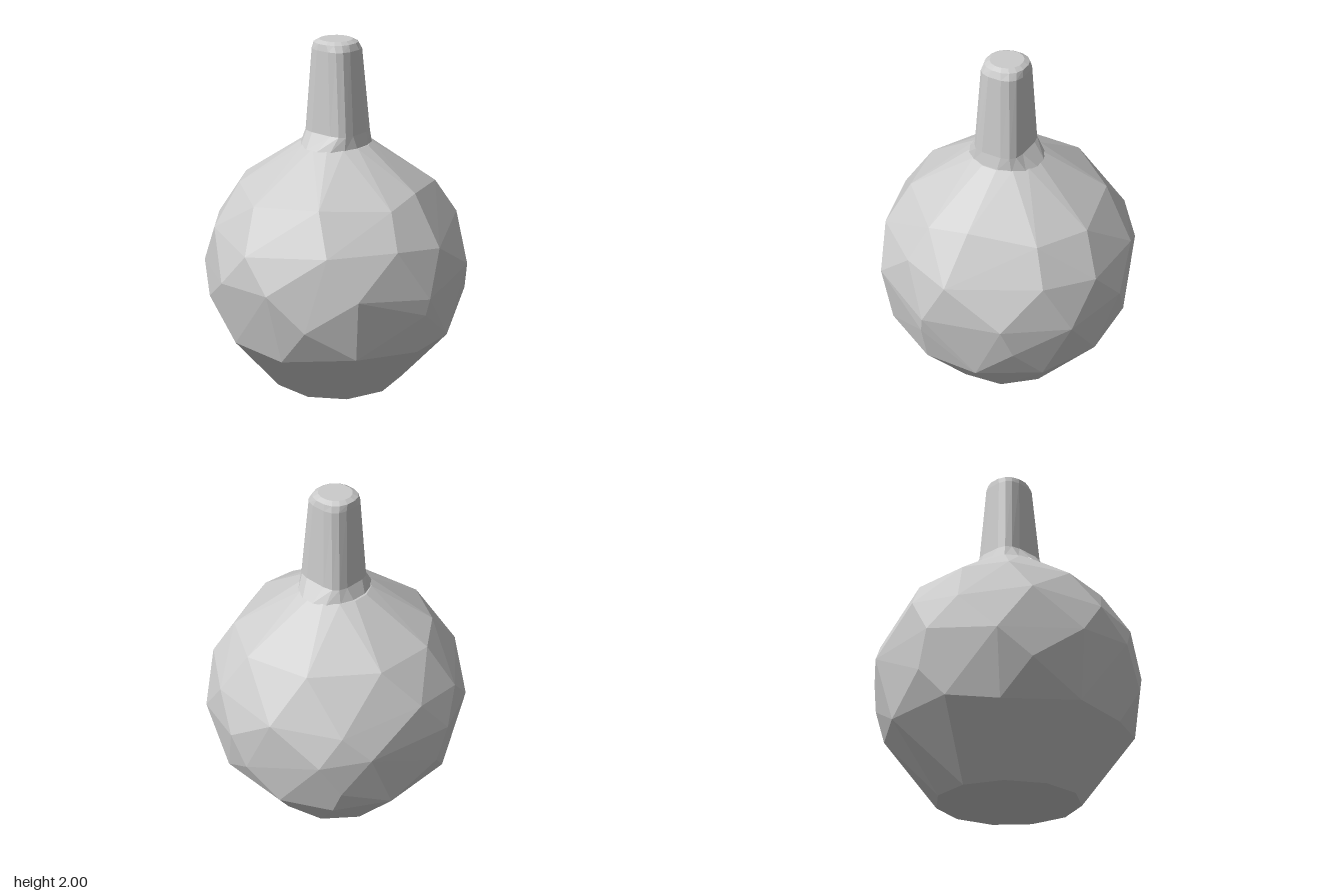
import * as THREE from 'three';
import { ConvexGeometry } from 'three/addons/geometries/ConvexGeometry.js';

const material = new THREE.MeshStandardMaterial({ color: 0xcccccc, flatShading: true });

// Small seeded generator, values in -1..1
function seeded(seed) {
  return () => {
    seed = (seed * 16807) % 2147483647;
    return (seed / 2147483647) * 2 - 1;
  };
}

// Faceted round body: staggered rings of points, slightly shifted, wrapped in a hull
function bodyGeometry() {
  const rand = seeded(4177);
  // y, radius, point count, start angle, vertical shift
  const rings = [
    [0, 0.4, 11, 0, 0],
    [0.37, 0.7, 12, 0.25, 0.04],
    [0.56, 0.745, 7, 0.1, 0.06],
    [0.73, 0.765, 11, 0, 0.05],
    [0.95, 0.715, 11, 0.3, 0.05],
    [1.18, 0.56, 10, 0.1, 0.03],
    [1.42, 0.2, 14, 0, 0],
  ];
  const profile = (y) => {
    let i = 1;
    while (i < rings.length - 1 && rings[i][0] < y) i++;
    const [y0, r0] = rings[i - 1], [y1, r1] = rings[i];
    return THREE.MathUtils.mapLinear(y, y0, y1, r0, r1);
  };
  const points = [];
  for (const [y, , n, start, shift] of rings) {
    for (let k = 0; k < n; k++) {
      const a = start + ((k + (shift ? rand() * 0.18 : 0)) / n) * Math.PI * 2;
      const py = y + rand() * shift;
      const r = profile(py);
      points.push(new THREE.Vector3(Math.cos(a) * r, py, Math.sin(a) * r));
    }
  }
  return new ConvexGeometry(points);
}

// Skin over rounded-square sections: [y, half width, half depth, z centre, exponent]
function loftGeometry(sections, sides, capTop) {
  const pos = [], index = [];
  const bend = (v, e) => Math.sign(v) * Math.pow(Math.abs(v), 2 / e);
  for (const [y, w, d, z, e] of sections) {
    for (let k = 0; k < sides; k++) {
      const a = ((k + 0.5) / sides) * Math.PI * 2;
      pos.push(w * bend(Math.cos(a), e), y, z + d * bend(Math.sin(a), e));
    }
  }
  for (let i = 0; i < sections.length - 1; i++) {
    for (let k = 0; k < sides; k++) {
      const a = i * sides + k, b = i * sides + ((k + 1) % sides);
      index.push(a, a + sides, b, b, a + sides, b + sides);
    }
  }
  if (capTop) {
    const last = (sections.length - 1) * sides;
    for (let k = 1; k < sides - 1; k++) index.push(last, last + k + 1, last + k);
  }
  const geometry = new THREE.BufferGeometry();
  geometry.setAttribute('position', new THREE.Float32BufferAttribute(pos, 3));
  geometry.setIndex(index);
  const flat = geometry.toNonIndexed();
  flat.computeVertexNormals();
  return flat;
}

export function createModel() {
  const model = new THREE.Group();
  const add = (name, geometry) => {
    const mesh = new THREE.Mesh(geometry, material);
    mesh.name = name;
    model.add(mesh);
  };

  add('body', bodyGeometry());

  // Collar turns from the round shoulder into the squarish neck
  const neckBase = [1.49, 0.145, 0.162, 0.012, 3.6];
  add('collar', loftGeometry([[1.41, 0.217, 0.193, 0.002, 2], neckBase], 16, false));

  // Tapered neck with a bevelled tip
  add('neck', loftGeometry([
    neckBase,
    [1.95, 0.123, 0.128, 0.006, 2.8],
    [1.985, 0.116, 0.118, 0, 2.3],
    [2, 0.09, 0.092, 0, 2.1],
  ], 16, true));

  return model;
}
